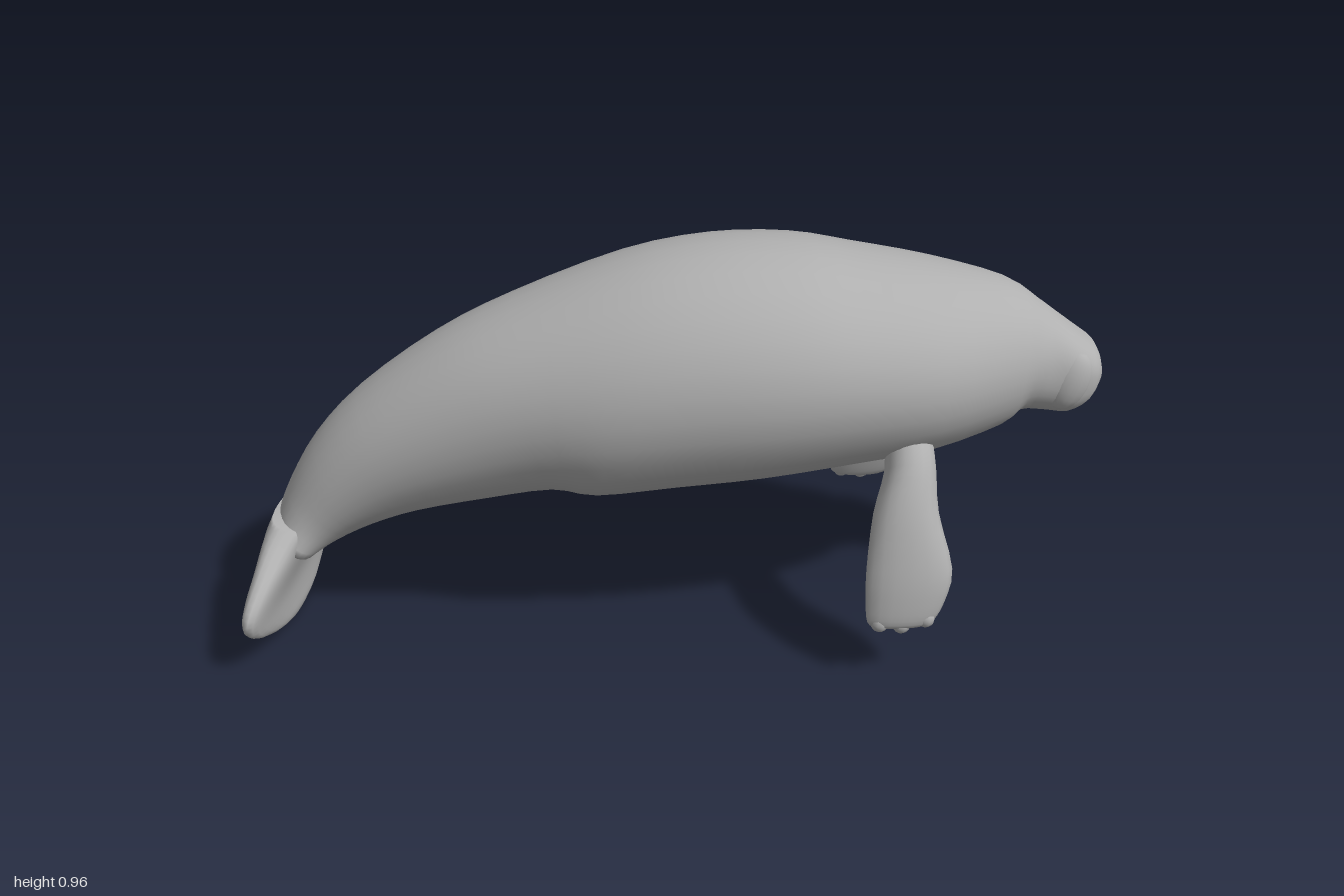
import * as THREE from 'three';

const skin = new THREE.MeshStandardMaterial({ color: 0xb0b0b0 });
skin.name = 'grey skin';

// Smoothly fills in extra rows between the given section rows
function refine(rows, steps) {
  const out = [];
  const at = (i) => rows[Math.min(Math.max(i, 0), rows.length - 1)];
  for (let i = 0; i < rows.length - 1; i++) {
    for (let s = 0; s < steps; s++) {
      const t = s / steps;
      out.push(at(i).map((p1, k) => {
        const p0 = at(i - 1)[k], p2 = at(i + 1)[k], p3 = at(i + 2)[k];
        return p1 + 0.5 * t * (p2 - p0 + t * (2 * p0 - 5 * p1 + 4 * p2 - p3 + t * (3 * (p1 - p2) + p3 - p0)));
      }));
    }
  }
  out.push(rows[rows.length - 1]);
  return out;
}

// Skins rings { c, a, b, e }: centre, two half axes and roundness (1 = ellipse, less = boxier)
function loft(rings, sides) {
  const pos = [], idx = [];
  const curve = (v, e) => Math.sign(v) * Math.pow(Math.abs(v), e);
  for (const { c, a, b, e } of rings) {
    for (let j = 0; j < sides; j++) {
      const t = (j / sides) * Math.PI * 2;
      const p = c.clone().addScaledVector(a, curve(Math.cos(t), e)).addScaledVector(b, curve(Math.sin(t), e));
      pos.push(p.x, p.y, p.z);
    }
  }
  for (let i = 0; i < rings.length - 1; i++) {
    for (let j = 0; j < sides; j++) {
      const p = i * sides + j, q = i * sides + (j + 1) % sides;
      idx.push(p, p + sides, q, q, p + sides, q + sides);
    }
  }
  // End caps
  const last = (rings.length - 1) * sides, first = pos.length / 3;
  for (const r of [rings[0], rings[rings.length - 1]]) pos.push(r.c.x, r.c.y, r.c.z);
  for (let j = 0; j < sides; j++) {
    const k = (j + 1) % sides;
    idx.push(first, j, k, first + 1, last + k, last + j);
  }
  const g = new THREE.BufferGeometry();
  g.setAttribute('position', new THREE.Float32BufferAttribute(pos, 3));
  g.setIndex(idx);
  g.computeVertexNormals();
  return g;
}

function add(parent, geometry, name) {
  const mesh = new THREE.Mesh(geometry, skin);
  mesh.name = name;
  parent.add(mesh);
  return mesh;
}

// Back x, y, belly x, y, half width, roundness; snout to tail stem
const bodyRows = [
  [1.0, 0.645, 0.995, 0.595, 0.045, 0.85],
  [0.985, 0.685, 0.965, 0.55, 0.082, 0.8],
  [0.945, 0.718, 0.92, 0.525, 0.097, 0.8],
  [0.885, 0.765, 0.87, 0.527, 0.105, 0.9],
  [0.85, 0.792, 0.805, 0.53, 0.13, 1],
  [0.77, 0.845, 0.76, 0.497, 0.172, 1],
  [0.6, 0.89, 0.6, 0.452, 0.248, 1],
  [0.42, 0.925, 0.42, 0.425, 0.285, 1],
  [0.28, 0.951, 0.2, 0.392, 0.303, 1],
  [0.1, 0.953, 0, 0.37, 0.3, 1],
  [-0.1, 0.917, -0.18, 0.348, 0.28, 1],
  [-0.36, 0.82, -0.27, 0.362, 0.238, 1],
  [-0.54, 0.73, -0.42, 0.335, 0.2, 1],
  [-0.72, 0.6, -0.58, 0.302, 0.162, 1],
  [-0.83, 0.48, -0.69, 0.266, 0.137, 1],
  [-0.9, 0.36, -0.78, 0.225, 0.122, 1],
  [-0.935, 0.275, -0.84, 0.195, 0.135, 0.95],
];

// Centre x, y, half thickness, half width of the paddle tail
const tailRows = [
  [-0.875, 0.285, 0.055, 0.12],
  [-0.893, 0.25, 0.05, 0.165],
  [-0.908, 0.2, 0.043, 0.235],
  [-0.922, 0.15, 0.038, 0.29],
  [-0.93, 0.11, 0.036, 0.3],
  [-0.932, 0.07, 0.034, 0.265],
  [-0.93, 0.03, 0.03, 0.175],
  [-0.926, 0.004, 0.018, 0.085],
];

// Centre x, y, z, half thickness, half breadth of a flipper
const flipperRows = [
  [0.535, 0.53, 0.16, 0.06, 0.055],
  [0.535, 0.48, 0.212, 0.064, 0.058],
  [0.522, 0.4, 0.268, 0.052, 0.074],
  [0.53, 0.28, 0.315, 0.041, 0.098],
  [0.522, 0.2, 0.333, 0.035, 0.09],
  [0.512, 0.155, 0.341, 0.027, 0.076],
  [0.508, 0.142, 0.343, 0.014, 0.055],
];

export function createModel() {
  const model = new THREE.Group();
  model.name = 'seaCow';

  // Body, head and tail stem
  add(model, loft(refine(bodyRows, 3).map(([tx, ty, bx, by, w, e]) => ({
    c: new THREE.Vector3((tx + bx) / 2, (ty + by) / 2, 0),
    a: new THREE.Vector3((tx - bx) / 2, (ty - by) / 2, 0),
    b: new THREE.Vector3(0, 0, w),
    e,
  })), 32), 'body');

  // Paddle tail, slightly turned and rolled
  add(model, loft(refine(tailRows, 3).map(([x, y, h, w]) => ({
    c: new THREE.Vector3(x, y, 0),
    a: new THREE.Vector3(-h, h * 0.3, 0),
    b: new THREE.Vector3(-0.16 * w, 0.1 * w, w),
    e: 0.8,
  })), 28), 'tailPaddle');

  for (const side of [1, -1]) {
    const label = side > 0 ? 'Front' : 'Back';

    // Flipper, curving outward and down
    const flipper = new THREE.Group();
    flipper.name = 'flipper' + label;
    model.add(flipper);
    add(flipper, loft(refine(flipperRows, 3).map(([x, y, z, h, w], i, all) => {
      const p = all[Math.max(i - 1, 0)], n = all[Math.min(i + 1, all.length - 1)];
      const across = new THREE.Vector2(p[1] - n[1], n[2] - p[2]).normalize();
      return {
        c: new THREE.Vector3(x, y, z * side),
        a: new THREE.Vector3(0, across.y * h, across.x * h * side),
        b: new THREE.Vector3(w * side, 0, 0),
        e: 0.95,
      };
    }), 18), 'flipperBlade');

    // Nails along the flipper tip
    for (const [x, y] of [[0.465, 0.155], [0.515, 0.15], [0.57, 0.165]]) {
      const nail = add(flipper, new THREE.SphereGeometry(1, 10, 8), 'nail');
      nail.scale.set(0.022, 0.024, 0.02);
      nail.position.set(x, y, 0.345 * side);
    }

    // Fleshy upper lip at the side of the muzzle
    const lip = add(model, new THREE.SphereGeometry(1, 16, 12), 'lip' + label);
    lip.scale.set(0.05, 0.075, 0.035);
    lip.rotation.z = -0.3;
    lip.position.set(0.915, 0.625, 0.072 * side);
  }
  return model;
}
